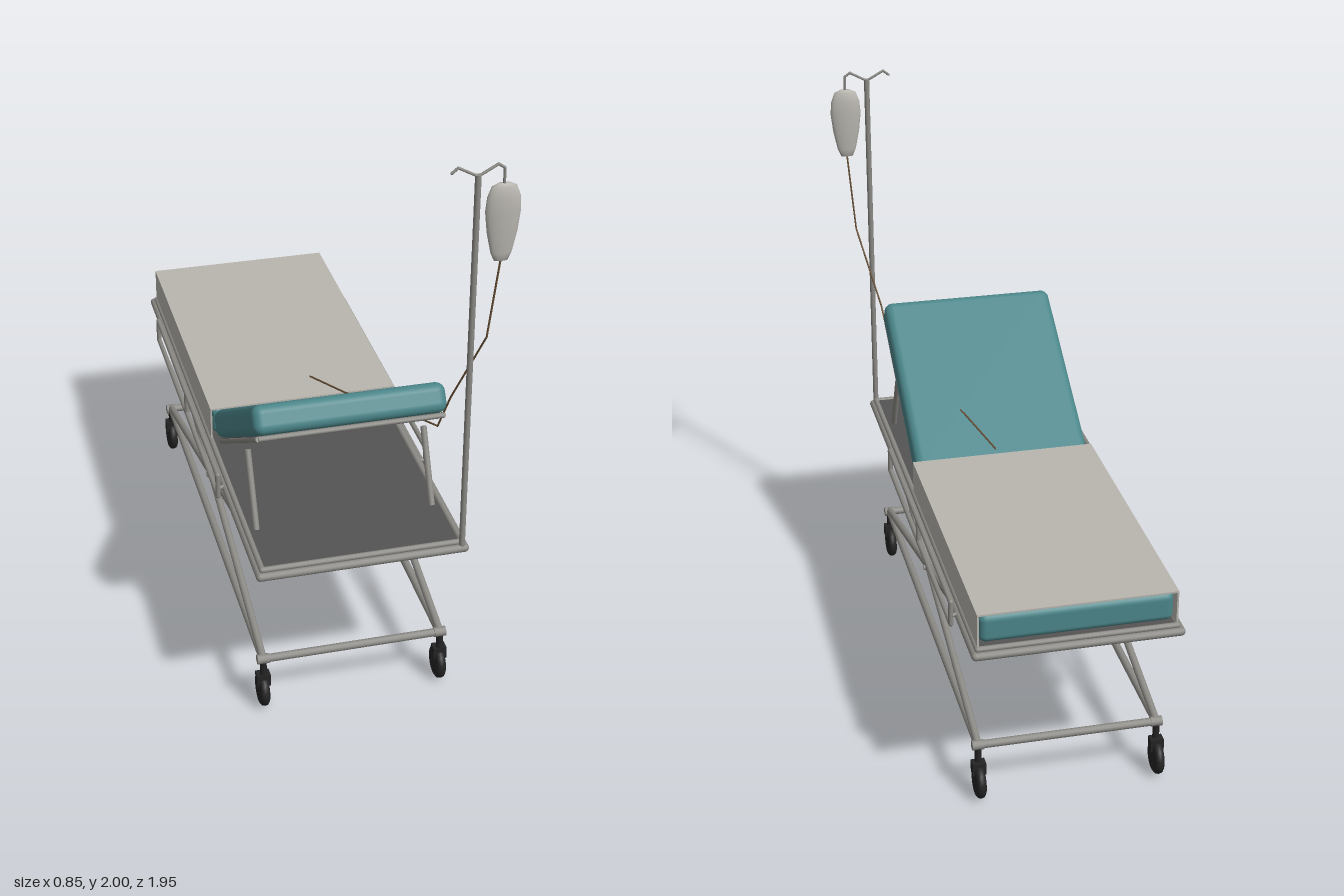
import * as THREE from 'three';
import { RoundedBoxGeometry } from 'three/addons/geometries/RoundedBoxGeometry.js';

const mat = (name, color, side = THREE.FrontSide) => {
  const m = new THREE.MeshStandardMaterial({ color, side });
  m.name = name;
  return m;
};

export function createModel() {
  const steel = mat('steel grey', 0x8c8a85);
  const panel = mat('dark panel', 0x545454);
  const rubber = mat('black rubber', 0x242424);
  const teal = mat('teal cushion', 0x4b868a);
  const sheet = mat('pale sheet', 0xb9b6b0);
  const hose = mat('brown hose', 0x6b5236);

  const model = new THREE.Group();
  model.name = 'hospitalBed';
  const CX = -0.05; // bed centreline; the pole and bag extend the model to +x

  const V = (x, y, z) => new THREE.Vector3(x, y, z);
  const add = (name, geo, m, x = 0, y = 0, z = 0, parent = model) => {
    const mesh = new THREE.Mesh(geo, m);
    mesh.name = name;
    mesh.position.set(x, y, z);
    parent.add(mesh);
    return mesh;
  };
  const box = (name, m, w, h, d, x, y, z, parent) =>
    add(name, new THREE.BoxGeometry(w, h, d), m, x, y, z, parent);
  // Straight tube between two points
  const bar = (name, a, b, r, m = steel, parent = model) => {
    const dir = b.clone().sub(a);
    const mesh = add(name, new THREE.CylinderGeometry(r, r, dir.length(), 12), m, 0, 0, 0, parent);
    mesh.position.copy(a).add(b).multiplyScalar(0.5);
    mesh.quaternion.setFromUnitVectors(V(0, 1, 0), dir.normalize());
    return mesh;
  };
  // Chain of tubes with ball joints
  const chain = (name, pts, r, m = steel, closed = false) => {
    const g = new THREE.Group();
    g.name = name;
    model.add(g);
    const n = pts.length;
    pts.forEach((p, i) => {
      add(name + 'Joint', new THREE.SphereGeometry(r, 10, 8), m, p.x, p.y, p.z, g);
      if (closed || i < n - 1) bar(name + 'Tube', p, pts[(i + 1) % n], r, m, g);
    });
    return g;
  };
  const rectXZ = (hw, y, hd) =>
    [V(CX - hw, y, -hd), V(CX + hw, y, -hd), V(CX + hw, y, hd), V(CX - hw, y, hd)];

  // Bed deck and its tube frame
  chain('bedFrame', rectXZ(0.343, 0.625, 0.958), 0.014, steel, true);
  chain('deckRim', rectXZ(0.334, 0.643, 0.945), 0.01, steel, true);
  box('deckPanel', panel, 0.664, 0.018, 1.89, CX, 0.638, 0);

  // Base frame
  chain('baseFrame', rectXZ(0.31, 0.195, 0.832), 0.014, steel, true);

  for (const s of [-1, 1]) {
    const x = CX + s * 0.31;
    // Crossed legs
    for (const e of [-1, 1]) {
      bar('crossLeg', V(x, 0.615, e * 0.805), V(x, 0.2, -e * 0.83), 0.013);
      bar('baseEndCap', V(x - 0.02, 0.195, e * 0.832), V(x + 0.02, 0.195, e * 0.832), 0.017);
    }
    const pin = bar('legPin', V(x - 0.018, 0.407, 0), V(x + 0.018, 0.407, 0), 0.009);
    pin.name = 'legPin';

    // Casters
    for (const z of [-0.836, 0.836]) {
      const caster = new THREE.Group();
      caster.name = 'caster';
      caster.position.set(x, 0, z);
      model.add(caster);
      bar('casterStem', V(0, 0.12, 0), V(0, 0.185, 0), 0.012, rubber, caster);
      box('casterFork', rubber, 0.046, 0.045, 0.035, 0, 0.112, -0.006, caster);
      const wheel = add('wheel', new THREE.LatheGeometry([
        [0.001, -0.016], [0.048, -0.016], [0.057, -0.01], [0.06, 0],
        [0.057, 0.01], [0.048, 0.016], [0.001, 0.016],
      ].map(p => new THREE.Vector2(...p)), 24), rubber, 0, 0.062, -0.014, caster);
      wheel.rotation.z = Math.PI / 2;
    }

    // Side rails
    const rx = CX + s * 0.37;
    chain('sideRail', [V(rx, 0.597, 0.425), V(rx, 0.68, 0.425),
      V(rx, 0.68, -0.7), V(rx, 0.597, -0.7)], 0.009, steel, true);
    bar('railPost', V(rx, 0.597, -0.135), V(rx, 0.68, -0.135), 0.009);
    for (const z of [0.425, -0.135, -0.7])
      bar('railBracket', V(rx, 0.63, z), V(CX + s * 0.34, 0.63, z), 0.008);

    // Backrest props
    bar('backrestProp', V(CX + s * 0.302, 0.645, 0.722), V(CX + s * 0.302, 0.885, 0.603), 0.011);
  }

  // Flat mattress with a sheet over its top and sides
  add('mattress', new RoundedBoxGeometry(0.65, 0.105, 1.06, 4, 0.025), teal, CX, 0.705, -0.405);
  box('sheetTop', sheet, 0.67, 0.006, 1.085, CX, 0.767, -0.402);
  for (const s of [-1, 1])
    box('sheetSide', sheet, 0.006, 0.116, 1.085, CX + s * 0.332, 0.706, -0.402);

  // Raised backrest: local +z runs up the slope
  const back = new THREE.Group();
  back.name = 'backrest';
  back.position.set(CX, 0.905, 0.4625);
  back.rotation.x = -Math.atan2(0.4, 0.645);
  model.add(back);
  add('backCushion', new RoundedBoxGeometry(0.645, 0.1, 0.765, 5, 0.032), teal, 0, 0, 0, back);
  box('backPanel', panel, 0.62, 0.014, 0.72, 0, -0.057, -0.012, back);
  const px = 0.308, py = -0.06, z0 = -0.36, z1 = 0.352;
  bar('backPanelTopRim', V(-px, py, z1), V(px, py, z1), 0.009, steel, back);
  for (const s of [-1, 1])
    bar('backPanelSideRim', V(s * px, py, z0), V(s * px, py, z1), 0.009, steel, back);

  // Drip stand with a pair of hooks
  const SX = 0.283, SZ = 0.957;
  bar('dripPole', V(SX, 0.625, SZ), V(SX, 1.965, SZ), 0.01);
  chain('dripHooks', [V(0.2, 1.978, SZ), V(0.22, 1.994, SZ), V(SX, 1.96, SZ),
    V(0.345, 1.994, SZ), V(0.365, 1.98, SZ), V(0.366, 1.93, SZ)], 0.0045);

  // Drip bag: flattened lathe
  const bag = add('dripBag', new THREE.LatheGeometry([
    [0.001, 0], [0.022, 0.003], [0.034, 0.03], [0.049, 0.1], [0.057, 0.17],
    [0.053, 0.215], [0.04, 0.25], [0.02, 0.26], [0.001, 0.26],
  ].map(p => new THREE.Vector2(...p)), 20), sheet, 0.366, 1.67, SZ);
  bag.scale.z = 0.38;

  // Drip line from the bag down to the bed
  chain('dripLine', [V(0.366, 1.675, SZ), V(0.345, 1.39, 0.925), V(0.275, 1.11, 0.805),
    V(0.255, 0.97, 0.745), V(0.2, 0.94, 0.6), V(0.06, 0.868, 0.3), V(-0.01, 0.82, 0.085)], 0.0032, hose);

  return model;
}
